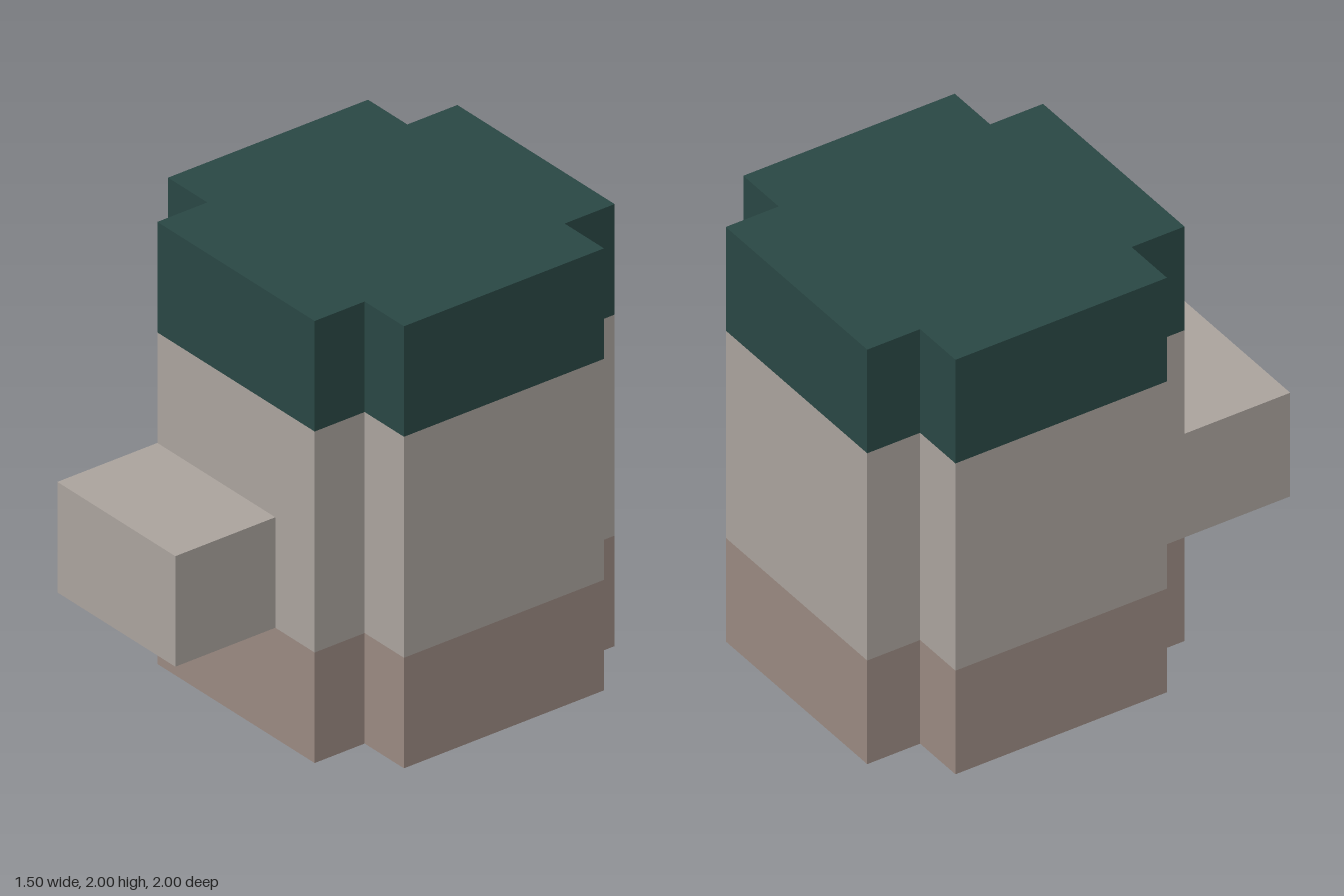
import * as THREE from 'three';
import { mergeGeometries } from 'three/addons/utils/BufferGeometryUtils.js';

// Plus-shaped outline, counter-clockwise from above (second value points to the back)
const OUTLINE = [
  [0.75, -0.5], [0.75, 0.5], [0.5, 0.5], [0.5, 0.75], [-0.5, 0.75], [-0.5, 0.5],
  [-0.75, 0.5], [-0.75, -0.5], [-0.5, -0.5], [-0.5, -0.75], [0.5, -0.75], [0.5, -0.5],
].map(([x, y]) => new THREE.Vector2(x, y));

// Flat walls following the outline between two heights
function walls(y0, y1) {
  return OUTLINE.map((a, i) => {
    const b = OUTLINE[(i + 1) % OUTLINE.length];
    return new THREE.PlaneGeometry(a.distanceTo(b), y1 - y0)
      .rotateY(Math.atan2(b.y - a.y, b.x - a.x))
      .translate((a.x + b.x) / 2, (y0 + y1) / 2, -(a.y + b.y) / 2);
  });
}

// Horizontal end face, facing up (1) or down (-1)
function cap(y, facing) {
  return new THREE.ShapeGeometry(new THREE.Shape(OUTLINE))
    .rotateX(-facing * Math.PI / 2)
    .translate(0, y, 0);
}

function addMesh(parent, name, geometry, color) {
  const mesh = new THREE.Mesh(geometry, new THREE.MeshStandardMaterial({ color }));
  mesh.name = name;
  parent.add(mesh);
  return mesh;
}

export function createModel() {
  const model = new THREE.Group();
  model.name = 'steppedBlock';

  // Body: three stacked colour bands, closed only at the ends
  const body = new THREE.Group();
  body.name = 'body';
  body.position.z = -0.25;
  addMesh(body, 'lowerBand', mergeGeometries([...walls(0, 0.5), cap(0, -1)]), 0x9c8b83);
  addMesh(body, 'middleBand', mergeGeometries(walls(0.5, 1.5)), 0xaca59f);
  addMesh(body, 'topBand', mergeGeometries([...walls(1.5, 2), cap(2, 1)]), 0x2a4845);
  model.add(body);

  // Off-centre block projecting from the front
  addMesh(model, 'frontBlock', new THREE.BoxGeometry(0.75, 0.5, 0.5), 0xaca59f)
    .position.set(-0.125, 0.75, 0.75);

  return model;
}
